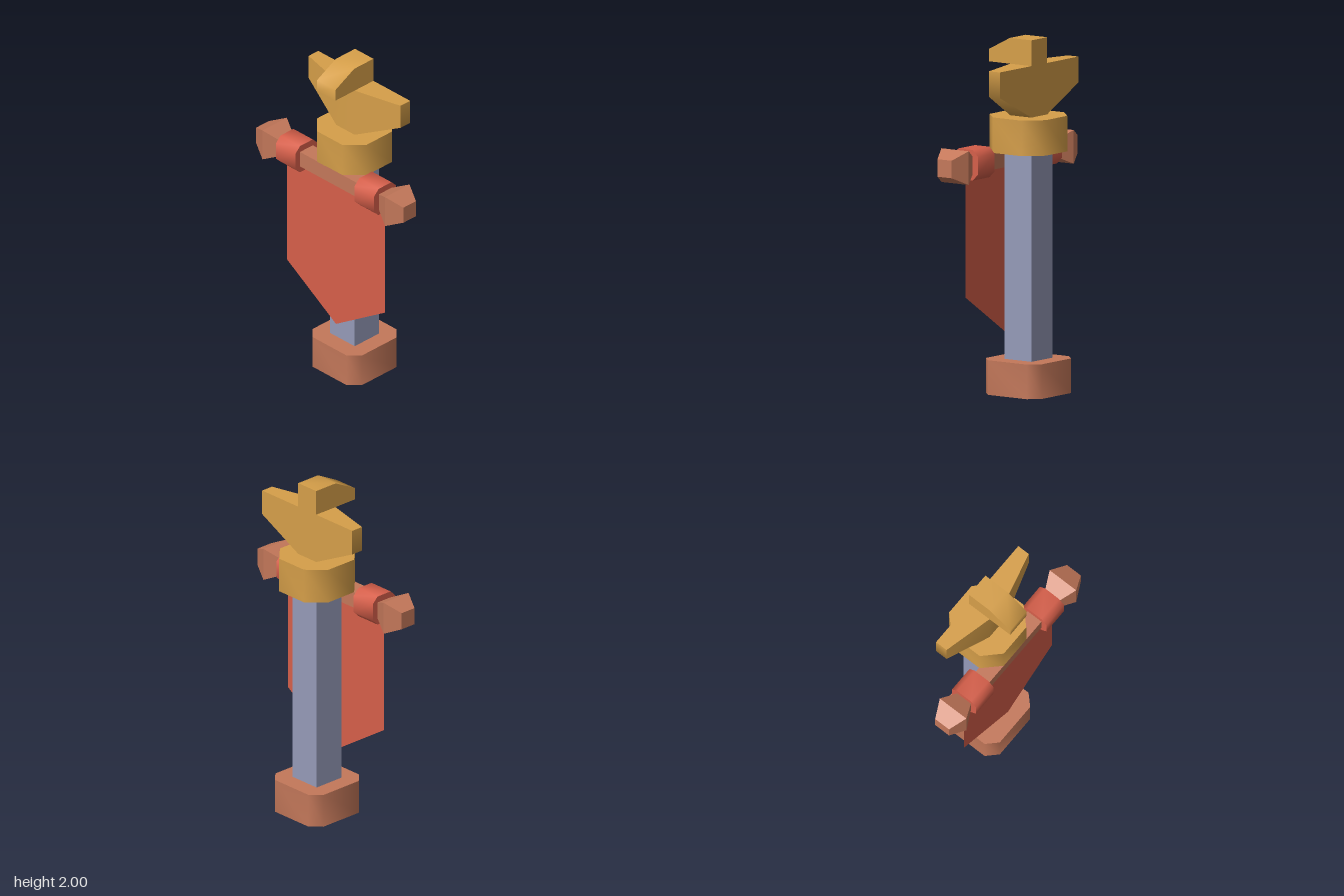
import * as THREE from 'three';
import { toCreasedNormals } from 'three/addons/utils/BufferGeometryUtils.js';

const material = (name, color, extra = {}) => Object.assign(new THREE.MeshStandardMaterial({ color, ...extra }), { name });

// Square prism with chamfered long edges, extruded along +z from 0
function chamferedBlock(half, chamfer, length) {
  const a = half, b = half - chamfer;
  const outline = [[b, -a], [a, -b], [a, b], [b, a], [-b, a], [-a, b], [-a, -b], [-b, -a]];
  const shape = new THREE.Shape(outline.map(([x, y]) => new THREE.Vector2(x, y)));
  return new THREE.ExtrudeGeometry(shape, { depth: length, bevelEnabled: false });
}

// Moves every vertex of a geometry by a rule
function reshape(geometry, rule) {
  const p = geometry.attributes.position, v = new THREE.Vector3();
  for (let i = 0; i < p.count; i++) {
    rule(v.fromBufferAttribute(p, i));
    p.setXYZ(i, v.x, v.y, v.z);
  }
  return geometry;
}

export function createModel() {
  const model = new THREE.Group();
  model.name = 'bannerStandard';
  const gold = material('gold', 0xd69f49);
  const wood = material('wood', 0xc4785a);
  const steel = material('steel', 0x959ab8);
  const red = material('red', 0xd65f4a);
  const cloth = red.clone();
  cloth.name = 'redCloth';
  cloth.side = THREE.DoubleSide;

  const add = (name, geometry, mat, x = 0, y = 0, z = 0) => {
    const mesh = new THREE.Mesh(geometry, mat);
    mesh.name = name;
    mesh.position.set(x, y, z);
    model.add(mesh);
    return mesh;
  };

  // Foot, pole and collar
  const poleZ = -0.025, barY = 1.32, barZ = 0.12;
  const upright = (chamfer, h) => toCreasedNormals(chamferedBlock(0.195, chamfer, h).rotateX(-Math.PI / 2), 0.9);
  add('foot', upright(0.06, 0.195), wood, 0, 0, poleZ);
  add('pole', new THREE.BoxGeometry(0.195, 1.17, 0.19), steel, 0, 0.78, poleZ);
  add('collar', upright(0.095, 0.2), gold, 0, 1.365, poleZ);

  // Crossbar with a ring and a faceted knob at each end
  add('crossbar', new THREE.BoxGeometry(0.78, 0.095, 0.1), wood, 0, barY, barZ);
  const ring = toCreasedNormals(chamferedBlock(0.086, 0.036, 0.155).translate(0, 0, -0.0775).rotateY(Math.PI / 2), 0.9);
  const knob = toCreasedNormals(reshape(new THREE.BoxGeometry(0.195, 0.19, 0.19, 2, 1, 1), (v) => {
    if (Math.abs(v.x) > 0.05) { v.y *= 0.52; v.z *= 0.52; }
  }), 0.3);
  for (const [side, s] of [['left', 1], ['right', -1]]) {
    add(side + 'Ring', ring, red, s * 0.3125, barY, barZ);
    add(side + 'Knob', knob, wood, s * 0.4875, barY, barZ);
  }

  // Pointed cloth hanging from the bar
  const clothShape = new THREE.Shape([[-0.39, 1.3], [-0.39, 0.57], [0, 0.32], [0.39, 0.57], [0.39, 1.3]]
    .map(([x, y]) => new THREE.Vector2(x, y)));
  add('bannerCloth', new THREE.ShapeGeometry(clothShape), cloth, 0, 0, barZ);

  // Winged body: wings taper upwards and backwards to the tips
  const wings = reshape(new THREE.BoxGeometry(0.73, 0.29, 0.15, 3, 1, 1), (v) => {
    const tip = Math.abs(v.x) > 0.3;
    if (!tip) v.x = Math.sign(v.x) * 0.073;
    v.y = v.y > 0 ? 1.855 : tip ? 1.71 : 1.565;
    v.z = v.z < 0 ? -0.1 : tip ? -0.025 : 0.047;
  });
  add('wings', toCreasedNormals(wings, 1.2), gold);

  // Beaked head, its side profile extruded across x
  const headShape = new THREE.Shape([[-0.195, 1.855], [0.1, 1.855], [0.1, 2], [-0.05, 2], [-0.195, 1.925]]
    .map(([x, y]) => new THREE.Vector2(x, y)));
  const head = new THREE.ExtrudeGeometry(headShape, { depth: 0.146, bevelEnabled: false })
    .translate(0, 0, -0.073).rotateY(Math.PI / 2);
  add('head', toCreasedNormals(head, 1.2), gold);

  return model;
}
